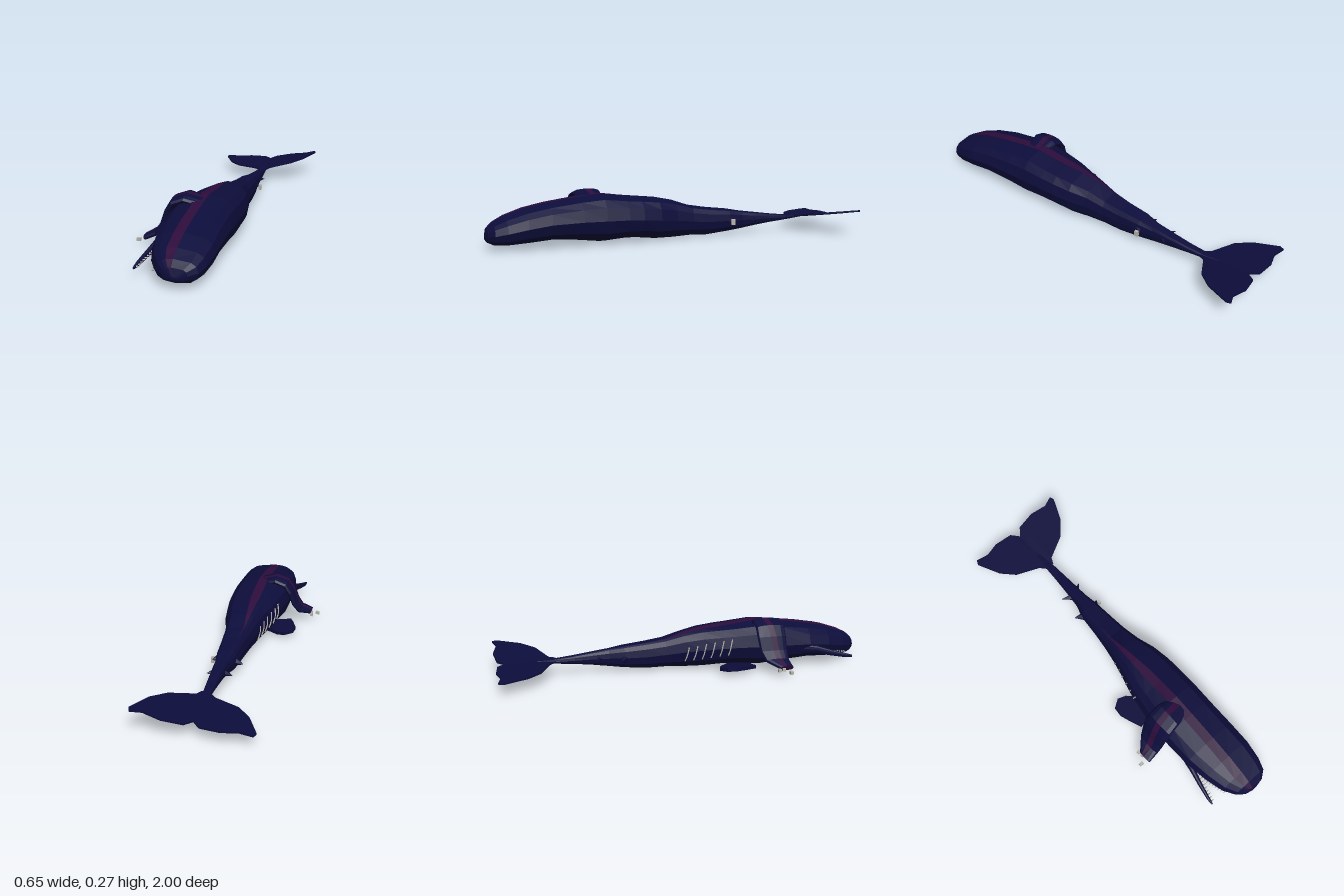
import * as THREE from 'three';

const V = (x, y, z) => new THREE.Vector3(x, y, z);
const mat = (name, color) => new THREE.MeshStandardMaterial({ name, color, flatShading: true });

// Body stations from nose to tail: z, x min, x max, y min, y max
const STATIONS = [
  [1, 0.02, 0.045, 0.06, 0.075], [0.99, -0.025, 0.095, 0.045, 0.115], [0.96, -0.065, 0.135, 0.03, 0.143],
  [0.9, -0.105, 0.155, 0.024, 0.172], [0.8, -0.135, 0.167, 0.028, 0.205], [0.68, -0.155, 0.166, 0.035, 0.228],
  [0.52, -0.16, 0.166, 0.022, 0.25], [0.4, -0.155, 0.167, 0.008, 0.262], [0.28, -0.135, 0.166, 0.02, 0.247],
  [0.2, -0.12, 0.162, 0.018, 0.24], [0.1, -0.09, 0.148, 0.008, 0.23], [0, -0.065, 0.12, 0.008, 0.21],
  [-0.1, -0.045, 0.107, 0.013, 0.18], [-0.2, -0.03, 0.1, 0.01, 0.165], [-0.32, -0.02, 0.092, 0.022, 0.15],
  [-0.4, 0.004, 0.08, 0.033, 0.135], [-0.5, 0.012, 0.075, 0.048, 0.12], [-0.6, 0.018, 0.07, 0.06, 0.105],
  [-0.7, 0.022, 0.064, 0.07, 0.094], [-0.78, 0.032, 0.05, 0.078, 0.09],
];

// Point on a slightly squared oval
function ovalPoint(rx, ry, deg) {
  const a = THREE.MathUtils.degToRad(deg), f = v => Math.sign(v) * Math.abs(v) ** 0.85;
  return [rx * f(Math.cos(a)), ry * f(Math.sin(a))];
}

// Clockwise oval whose first edge is the stripe running from s0 to s1
function oval(rx, ry, s0, s1) {
  const top = s => {
    const c = THREE.MathUtils.clamp(s, -0.5 * rx, 0.5 * rx);
    return [c, ry * Math.pow(1 - Math.pow(Math.abs(c / rx), 2 / 0.85), 0.425)];
  };
  const rest = [52, 28, 0, -28, -55, -90, -125, -152, 180, 152, 128].map(d => ovalPoint(rx, ry, d));
  return [top(s0), top(s1), ...rest];
}

// Skin over rings; the first edge of each ring uses material 1
function loft(rings, endMat = 0) {
  const sides = [[], []], n = rings[0].length;
  const mid = r => r.reduce((s, p) => s.add(p), V(0, 0, 0)).divideScalar(n);
  const first = mid(rings[0]), last = mid(rings[rings.length - 1]);
  for (let j = 0; j < n; j++) {
    const k = (j + 1) % n, out = sides[j === 0 ? 1 : 0];
    for (let i = 0; i < rings.length - 1; i++) {
      const a = rings[i], b = rings[i + 1];
      out.push(a[j], a[k], b[k], a[j], b[k], b[j]);
    }
    sides[0].push(first, rings[0][k], rings[0][j]);
    sides[endMat].push(last, rings[rings.length - 1][j], rings[rings.length - 1][k]);
  }
  const g = new THREE.BufferGeometry().setFromPoints([...sides[0], ...sides[1]]);
  g.addGroup(0, sides[0].length, 0);
  g.addGroup(sides[0].length, sides[1].length, 1);
  g.computeVertexNormals();
  return g;
}

// Body centre and radii at any z
function bodyAt(z) {
  const i = Math.max(0, STATIONS.findIndex(s => s[0] <= z) - 1), a = STATIONS[i], b = STATIONS[i + 1];
  const t = (a[0] - z) / (a[0] - b[0]), [, l, r, d, u] = a.map((v, k) => v + (b[k] - v) * t);
  return { cx: (l + r) / 2, cy: (d + u) / 2, rx: (r - l) / 2, ry: (u - d) / 2 };
}
function onBody(z, deg) {
  const b = bodyAt(z), [x, y] = ovalPoint(b.rx, b.ry, deg);
  return V(b.cx + x, b.cy + y, z);
}

// Flat plate from an (x, z) outline, its top following height(x)
function plate(outline, thick, height) {
  const shape = new THREE.Shape(outline.map(([x, z]) => new THREE.Vector2(x, -z)));
  const g = new THREE.ExtrudeGeometry(shape, { depth: thick, bevelEnabled: false });
  g.rotateX(-Math.PI / 2);
  const p = g.attributes.position;
  for (let i = 0; i < p.count; i++) p.setY(i, p.getY(i) + height(p.getX(i)));
  g.computeVertexNormals();
  return g;
}

export function createModel() {
  const root = new THREE.Group();
  const skin = mat('navy skin', 0x0d0d3c), stripe = mat('purple stripe', 0x2e0d3c), bone = mat('bone', 0xb9b5ae);
  const add = (name, geo, m) => {
    const mesh = new THREE.Mesh(geo, m);
    mesh.name = name;
    root.add(mesh);
    return mesh;
  };
  const spike = (name, base, tip, r, m, sides = 5) => {
    const dir = tip.clone().sub(base);
    const mesh = add(name, new THREE.ConeGeometry(r, dir.length(), sides), m);
    mesh.position.copy(base).addScaledVector(dir, 0.5);
    mesh.quaternion.setFromUnitVectors(V(0, 1, 0), dir.normalize());
  };

  // Body lying on its side, with a stripe tapering toward the tail
  add('body', loft(STATIONS.map(([z, l, r, d, u]) => {
    const cx = (l + r) / 2, cy = (d + u) / 2;
    const w = z > 0.2 ? 0.025 : Math.max(0, 0.025 * (z + 0.15) / 0.35);
    return oval((r - l) / 2, (u - d) / 2, -0.006 - w - cx, -0.006 + w - cx).map(([x, y]) => V(cx + x, cy + y, z));
  })), [skin, stripe]);

  // Upper flipper arching over the flank: x, y, z min, z max, half thickness
  const arm = [
    [0, 0.235, 0.38, 0.5, 0.022], [-0.08, 0.256, 0.37, 0.52, 0.022], [-0.135, 0.236, 0.37, 0.53, 0.022],
    [-0.165, 0.19, 0.37, 0.53, 0.018], [-0.19, 0.12, 0.38, 0.53, 0.017], [-0.22, 0.075, 0.4, 0.53, 0.017],
    [-0.28, 0.048, 0.46, 0.535, 0.014],
  ];
  add('upperFlipper', loft(arm.map(([x, y, z0, z1, h], i) => {
    const a = arm[Math.max(0, i - 1)], b = arm[Math.min(arm.length - 1, i + 1)];
    const n = V(b[1] - a[1], a[0] - b[0], 0).normalize(), zc = (z0 + z1) / 2;
    const s = zc - (0.43 + 0.05 * i / 6);
    return oval((z1 - z0) / 2, h, s - 0.016, s + 0.016).map(([u, v]) => V(x + n.x * v, y + n.y * v, zc - u));
  }), 1), [skin, stripe]);

  // Finger bones at the flipper tip
  for (const [x, y, z, w] of [[-0.315, 0.032, 0.51, 0.022], [-0.28, 0.042, 0.48, 0.018], [-0.285, 0.04, 0.455, 0.016]]) {
    add('fingerBone', new THREE.BoxGeometry(w, 0.016, 0.016), bone).position.set(x, y, z);
  }

  // Lower flipper resting near the ground
  add('lowerFlipper', plate([
    [-0.05, 0.36], [-0.14, 0.35], [-0.18, 0.36], [-0.205, 0.3], [-0.225, 0.24], [-0.22, 0.19],
    [-0.175, 0.16], [-0.13, 0.175], [-0.08, 0.22], [-0.03, 0.25],
  ].reverse(), 0.018, x => 0.012 - (x + 0.05) * 0.12), skin);

  // Tail flukes
  const slope = k => x => 0.078 + k * (x - 0.04);
  add('leftFluke', plate([
    [0.04, -0.68], [0.07, -0.68], [0.085, -0.715], [0.205, -0.775], [0.27, -0.85], [0.323, -0.975],
    [0.315, -1], [0.26, -0.98], [0.17, -1], [0.07, -0.985], [0.037, -0.94],
  ], 0.009, slope(0.19)), skin);
  add('rightFluke', plate([
    [0.04, -0.68], [0.037, -0.94], [0, -0.985], [-0.1, -0.995], [-0.175, -0.975], [-0.245, -0.99],
    [-0.255, -0.965], [-0.195, -0.84], [-0.13, -0.77], [-0.005, -0.715], [0.025, -0.68],
  ].reverse(), 0.009, slope(0.04)), skin);

  // Open lower jaw: x, y, z, half width, half height
  add('lowerJaw', loft([
    [-0.184, 0.058, 0.915, 0.004, 0.006], [-0.18, 0.063, 0.88, 0.008, 0.012], [-0.165, 0.08, 0.8, 0.011, 0.017],
    [-0.147, 0.1, 0.72, 0.014, 0.022], [-0.125, 0.11, 0.62, 0.02, 0.03],
  ].map(([x, y, z, w, h]) => oval(w, h, 0, 0).map(([u, v]) => V(x + u, y + v, z)))), [skin, skin]);

  // Teeth along both jaws
  for (let i = 0; i < 11; i++) {
    const t = i / 10, low = V(-0.136, 0.102, 0.73).lerp(V(-0.176, 0.06, 0.9), t);
    spike('lowerTooth', low, low.clone().add(V(0.017, 0.005, 0)), 0.005, bone, 4);
    const up = onBody(0.75 + 0.16 * t, 196 + 10 * t);
    spike('upperTooth', up, up.clone().add(V(-0.013, -0.006, 0)), 0.005, bone, 4);
  }

  // Exposed ribs on the belly side
  for (let i = 0; i < 6; i++) {
    const z = 0.02 + i * 0.045;
    const pts = [165, 178, 190, 202].map((d, k) => onBody(z - k * 0.007, d + 4 - i * 2));
    add('rib', new THREE.TubeGeometry(new THREE.CatmullRomCurve3(pts), 8, 0.0035, 4), bone);
  }

  // Small fins on the tail stock
  for (const [x0, x1, z, y, r] of [[0, -0.055, -0.345, 0.08, 0.028], [0.07, 0.108, -0.345, 0.09, 0.028],
    [0.02, -0.035, -0.48, 0.08, 0.018], [0.06, 0.1, -0.49, 0.085, 0.018]]) {
    spike('tailFin', V(x0, y, z + 0.03), V(x1, y, z), r, skin);
  }
  add('tailBone', new THREE.BoxGeometry(0.014, 0.03, 0.02), bone).position.set(0.109, 0.082, -0.327);

  return root;
}
